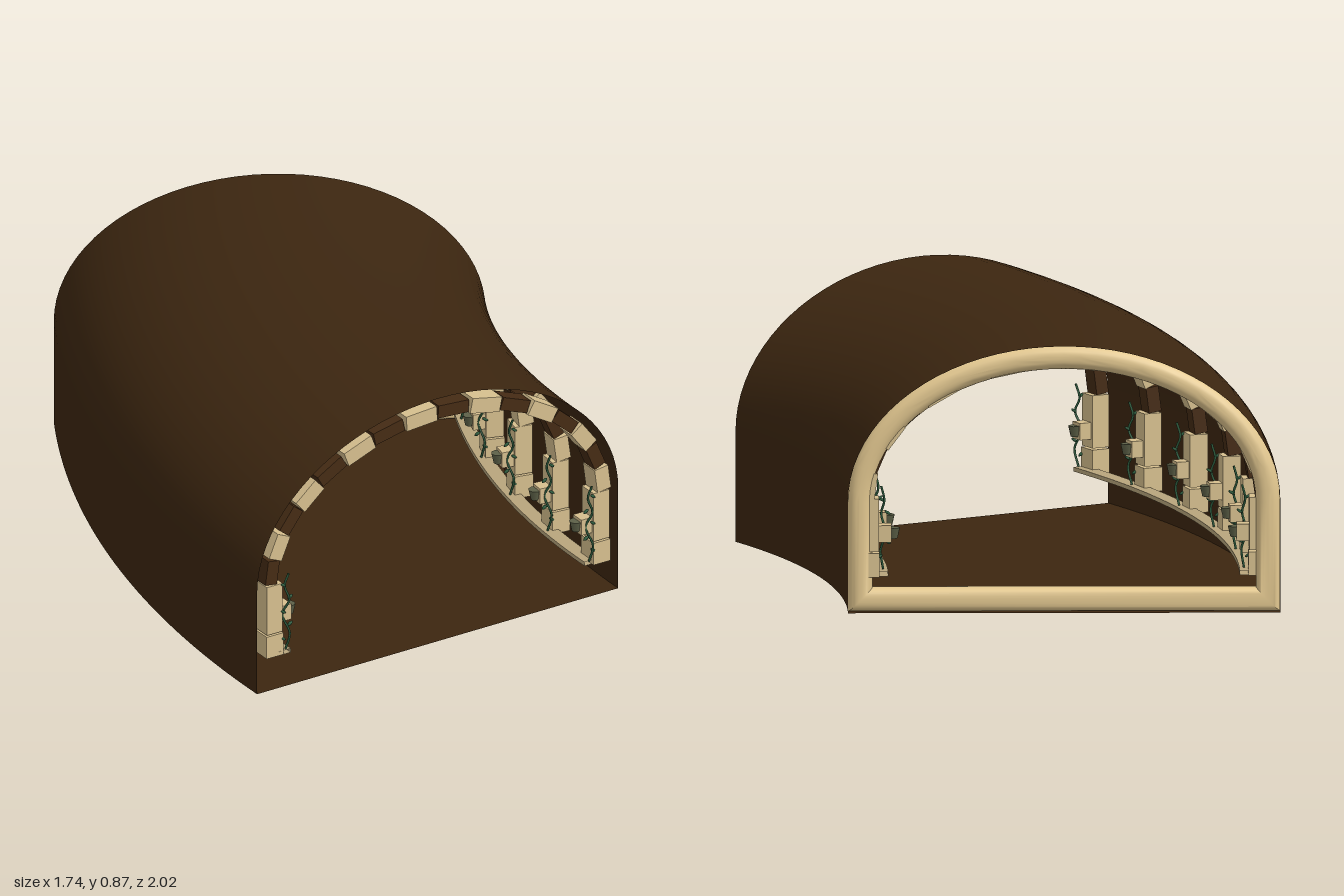
import * as THREE from 'three';
import { toCreasedNormals } from 'three/addons/utils/BufferGeometryUtils.js';

const PIVOT_X = 3.13, RADIUS = 3.305, TURN = Math.PI / 6; // bend of the tunnel
const HALF = 0.695, SPRING = 0.36, RISE = 0.51;           // arch section
const rad = THREE.MathUtils.degToRad;

const mat = (name, color, extra = {}) => {
  const m = new THREE.MeshStandardMaterial({ color, ...extra });
  m.name = name;
  return m;
};

// Points of the arched section, moved inwards by d
function archPoints(d, n = 40) {
  const pts = [new THREE.Vector2(HALF - d, d)];
  for (let i = 0; i <= n; i++) {
    const t = (i / n) * Math.PI;
    pts.push(new THREE.Vector2((HALF - d) * Math.cos(t), SPRING + (RISE - d) * Math.sin(t)));
  }
  pts.push(new THREE.Vector2(-HALF + d, d));
  return pts;
}

// Sweeps a section along the bend
function sweep(profile, from, to, steps = 40) {
  const pos = [], index = [], n = profile.length;
  for (let s = 0; s <= steps; s++) {
    const a = from + (to - from) * (s / steps);
    for (const p of profile) {
      const r = RADIUS - p.x;
      pos.push(PIVOT_X - r * Math.cos(a), p.y, 1 - r * Math.sin(a));
    }
  }
  for (let s = 0; s < steps; s++) for (let i = 0; i < n - 1; i++) {
    const a = s * n + i, b = a + 1, c = a + n, d = c + 1;
    index.push(a, b, c, b, d, c);
  }
  const g = new THREE.BufferGeometry();
  g.setAttribute('position', new THREE.Float32BufferAttribute(pos, 3));
  g.setIndex(index);
  g.computeVertexNormals();
  return g;
}

export function createModel() {
  const root = new THREE.Group();
  root.name = 'curvedTunnel';

  const shellMat = mat('dark brown shell', 0x3c2610, { side: THREE.DoubleSide });
  const darkMat = mat('brown stone', 0x452b14);
  const stoneMat = mat('sand stone', 0xd6bf8e);
  const frameMat = mat('light sand frame', 0xe3c890);
  const curbMat = mat('curb stone', 0xb8a57c, { side: THREE.DoubleSide, flatShading: true });
  const vineMat = mat('vine green', 0x2c5a3c, { side: THREE.DoubleSide });
  const potMat = mat('olive pot', 0x5d6148);

  const add = (parent, name, geo, material, x = 0, y = 0, z = 0) => {
    const m = new THREE.Mesh(geo, material);
    m.name = name;
    m.position.set(x, y, z);
    parent.add(m);
    return m;
  };

  // A group whose origin is the tunnel's centre line at an angle of the bend
  const station = (name, angle) => {
    const g = new THREE.Group(), inner = new THREE.Group();
    g.name = name;
    g.position.set(PIVOT_X, 0, 1);
    g.rotation.y = -angle;
    inner.position.x = -RADIUS;
    g.add(inner);
    root.add(g);
    return inner;
  };

  // Vault with walls, and the floor
  add(root, 'vault', sweep(archPoints(0), 0, TURN), shellMat);
  add(root, 'floor', sweep([new THREE.Vector2(-HALF, 0), new THREE.Vector2(HALF, 0)], 0, TURN), shellMat);

  // Narrow curbs along both walls
  for (const s of [-1, 1]) {
    const u0 = s * (HALF - 0.08), u1 = s * (HALF - 0.13);
    const section = [[u0, 0.115], [u1, 0.115], [u1, 0.129], [u0, 0.129], [u0, 0.115]]
      .map(([x, y]) => new THREE.Vector2(x, y));
    add(root, s < 0 ? 'rightCurb' : 'leftCurb', sweep(section, 0, rad(29.4)), curbMat);
  }

  // Rounded frame inside the far opening
  const ring = new THREE.Shape(archPoints(0.035));
  ring.holes.push(new THREE.Path(archPoints(0.045)));
  const ringGeo = new THREE.ExtrudeGeometry(ring, {
    depth: 0.01, bevelEnabled: true, bevelSize: 0.034, bevelThickness: 0.034, bevelSegments: 6,
  });
  add(station('endFrame', TURN), 'frameRing', toCreasedNormals(ringGeo, rad(50)), frameMat, 0, 0, 0.036);

  // Shared pieces of the ribs
  const lowBlock = new THREE.BoxGeometry(0.064, 0.078, 0.074);
  const highBlock = new THREE.BoxGeometry(0.06, 0.172, 0.07);
  const bracket = new THREE.BoxGeometry(0.045, 0.055, 0.05);
  const pot = new THREE.CylinderGeometry(0.022, 0.014, 0.035, 8);
  const leaf = new THREE.SphereGeometry(0.012, 6, 4).scale(1, 0.4, 0.6);
  const stem = new THREE.TubeGeometry(new THREE.CatmullRomCurve3(
    [[0, 0.13, 0], [0.008, 0.19, 0.012], [-0.008, 0.25, -0.008], [0.006, 0.31, 0.012], [-0.004, 0.355, 0], [0.006, 0.4, 0.008]]
      .map(p => new THREE.Vector3(...p))), 24, 0.004, 5);

  // Stone ribs: pillars, voussoirs, pots and vines
  const COUNT = 16, A = HALF - 0.062, B = RISE - 0.062;
  [0.55, 6, 12, 18, 24, 29].forEach((deg, k) => {
    const rib = station('rib' + (k + 1), rad(deg));
    for (const s of [-1, 1]) {
      const wall = d => s * (HALF - d);
      add(rib, 'pillarBase', lowBlock, stoneMat, wall(0.07), 0.154);
      add(rib, 'pillarBlock', highBlock, stoneMat, wall(0.07), 0.284);
      add(rib, 'bracket', bracket, stoneMat, wall(0.118), 0.254);
      add(rib, 'pot', pot, potMat, wall(0.146), 0.254);
      add(rib, 'vine', stem, vineMat, wall(0.115), 0, 0.03);
      for (let i = 0; i < 5; i++) {
        const l = add(rib, 'leaf', leaf, vineMat, wall(0.115 + (i % 2 ? 0.014 : -0.012)),
          0.17 + i * 0.048, 0.034);
        l.rotation.z = i % 2 ? 0.6 : -0.6;
      }
    }
    for (let i = 0; i < COUNT; i++) {
      const step = Math.PI / COUNT, t = Math.PI - (i + 0.5) * step;
      const tx = -A * Math.sin(t), ty = B * Math.cos(t);
      const light = i % 2 === 1, length = Math.hypot(tx, ty) * step;
      const v = add(rib, light ? 'lightVoussoir' : 'darkVoussoir',
        new THREE.BoxGeometry(length * 0.94, light ? 0.052 : 0.044, light ? 0.07 : 0.06),
        light ? stoneMat : darkMat, A * Math.cos(t), SPRING + 0.01 + B * Math.sin(t));
      v.rotation.z = Math.atan2(ty, tx);
    }
  });

  return root;
}
